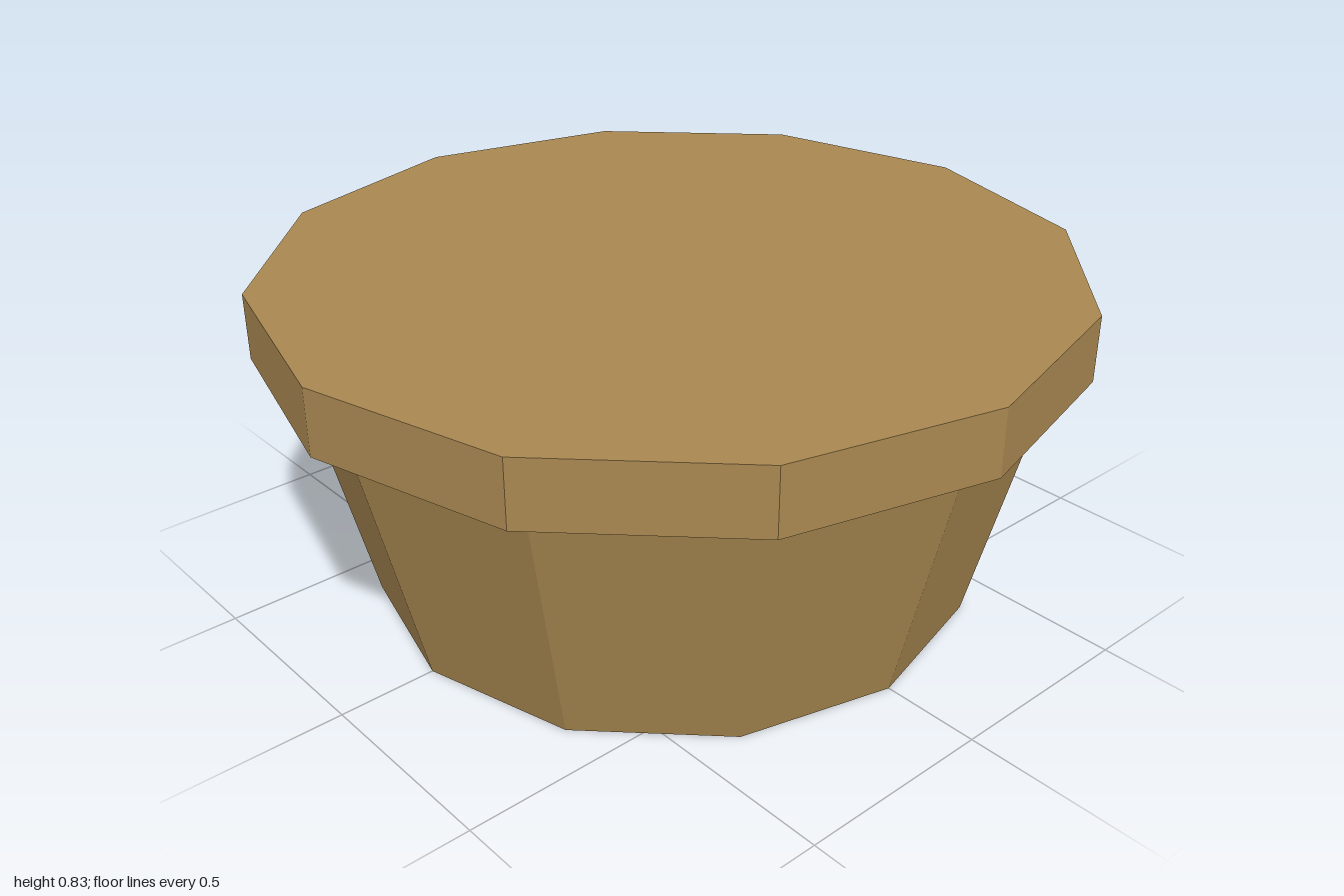
import * as THREE from 'three';

const SIDES = 12;

export function createModel() {
  const model = new THREE.Group();
  model.name = 'pot';

  const clay = new THREE.MeshStandardMaterial({ color: 0xa88750, flatShading: true });
  clay.name = 'tan clay';

  // Twelve-sided ring section standing between two heights
  const addSection = (name, topRadius, bottomRadius, bottom, top) => {
    const geometry = new THREE.CylinderGeometry(topRadius, bottomRadius, top - bottom, SIDES);
    const mesh = new THREE.Mesh(geometry, clay);
    mesh.name = name;
    mesh.position.y = (bottom + top) / 2;
    model.add(mesh);
  };

  // Tapered body, wider towards the rim
  addSection('body', 0.917, 0.755, 0, 0.67);
  // Straight overhanging rim with a closed top
  addSection('rim', 1, 1, 0.67, 0.833);

  return model;
}
